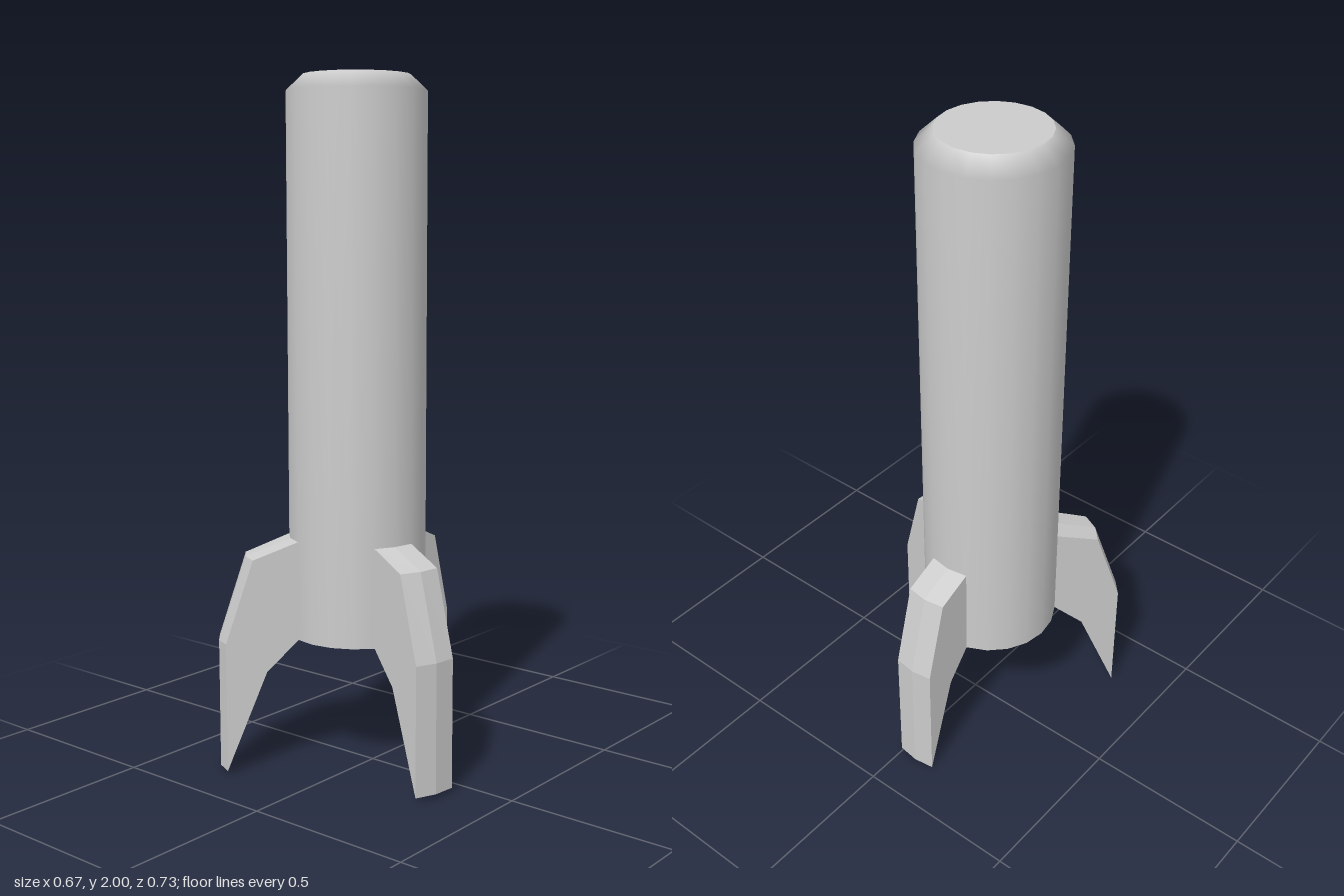
import * as THREE from 'three';

const SIDES = 20, RADIUS = 0.201, CX = -0.055, CZ = 0.005;
const BASE_Y = 0.39, TOP_Y = 2, RIM_Y = 1.955, TOP_R = 0.153;

// Fin outline: t runs from the body wall (0) to the outer edge (1).
const finProfile = (foot) => [[0.44, 0.3], [0, BASE_Y], [0, 0.68], [0.62, 0.633], [1, BASE_Y], [1, foot]];

// Corner of the body's polygon seen from above.
function bodyCorner(i) {
  const a = (i * 2 * Math.PI) / SIDES;
  return [CX + RADIUS * Math.cos(a), CZ + RADIUS * Math.sin(a)];
}

// A fin continues two body facets outward: three columns, each swept along the profile.
function finGeometry(first, tips, foot) {
  const profile = finProfile(foot);
  const columns = tips.map(([tx, tz], i) => {
    const [bx, bz] = bodyCorner(first + i);
    return profile.map(([t, y]) => [bx + (tx - bx) * t, y, bz + (tz - bz) * t]);
  });
  const pos = [];
  const tri = (...pts) => pts.forEach((p) => pos.push(...p));
  const n = profile.length;
  // Outer, upper and lower surfaces
  for (let c = 0; c < 2; c++) {
    const a = columns[c], b = columns[c + 1];
    for (let k = 0; k < n; k++) {
      const m = (k + 1) % n;
      tri(b[k], b[m], a[m]);
      tri(b[k], a[m], a[k]);
    }
  }
  // Flat sides, fanned from the inner bend
  const left = columns[0], right = columns[2];
  for (let k = 1; k < n - 1; k++) {
    tri(left[0], left[k], left[k + 1]);
    tri(right[0], right[k + 1], right[k]);
  }
  const geo = new THREE.BufferGeometry();
  geo.setAttribute('position', new THREE.Float32BufferAttribute(pos, 3));
  geo.computeVertexNormals();
  return geo;
}

export function createModel() {
  const model = new THREE.Group();
  model.name = 'rocket';
  const smooth = new THREE.MeshStandardMaterial({ color: 0xcccccc });
  const flat = new THREE.MeshStandardMaterial({ color: 0xcccccc, flatShading: true });

  const add = (name, geo, mat, x = 0, y = 0, z = 0) => {
    const mesh = new THREE.Mesh(geo, mat);
    mesh.name = name;
    mesh.position.set(x, y, z);
    model.add(mesh);
  };

  // Body wall with its bevelled rim
  const outline = [[RADIUS, BASE_Y], [RADIUS, RIM_Y], [TOP_R, TOP_Y]].map(([r, y]) => new THREE.Vector2(r, y));
  add('body', new THREE.LatheGeometry(outline, SIDES), smooth, CX, 0, CZ);

  // End caps
  add('topCap', new THREE.CircleGeometry(TOP_R, SIDES).rotateX(-Math.PI / 2), smooth, CX, TOP_Y, CZ);
  add('bottomCap', new THREE.CircleGeometry(RADIUS, SIDES).rotateX(Math.PI / 2), smooth, CX, BASE_Y, CZ);

  // Three fins, each with its own slightly uneven outer edge
  const fins = [
    ['backFin', 14, [[-0.117, -0.357], [-0.055, -0.366], [0.008, -0.357]], 0],
    ['leftFin', 0, [[0.333, 0.055], [0.326, 0.121], [0.3, 0.18]], 0.012],
    ['frontRightFin', 6, [[-0.247, 0.363], [-0.298, 0.34], [-0.335, 0.3]], 0.01],
  ];
  for (const [name, first, tips, foot] of fins) add(name, finGeometry(first, tips, foot), flat);

  return model;
}
